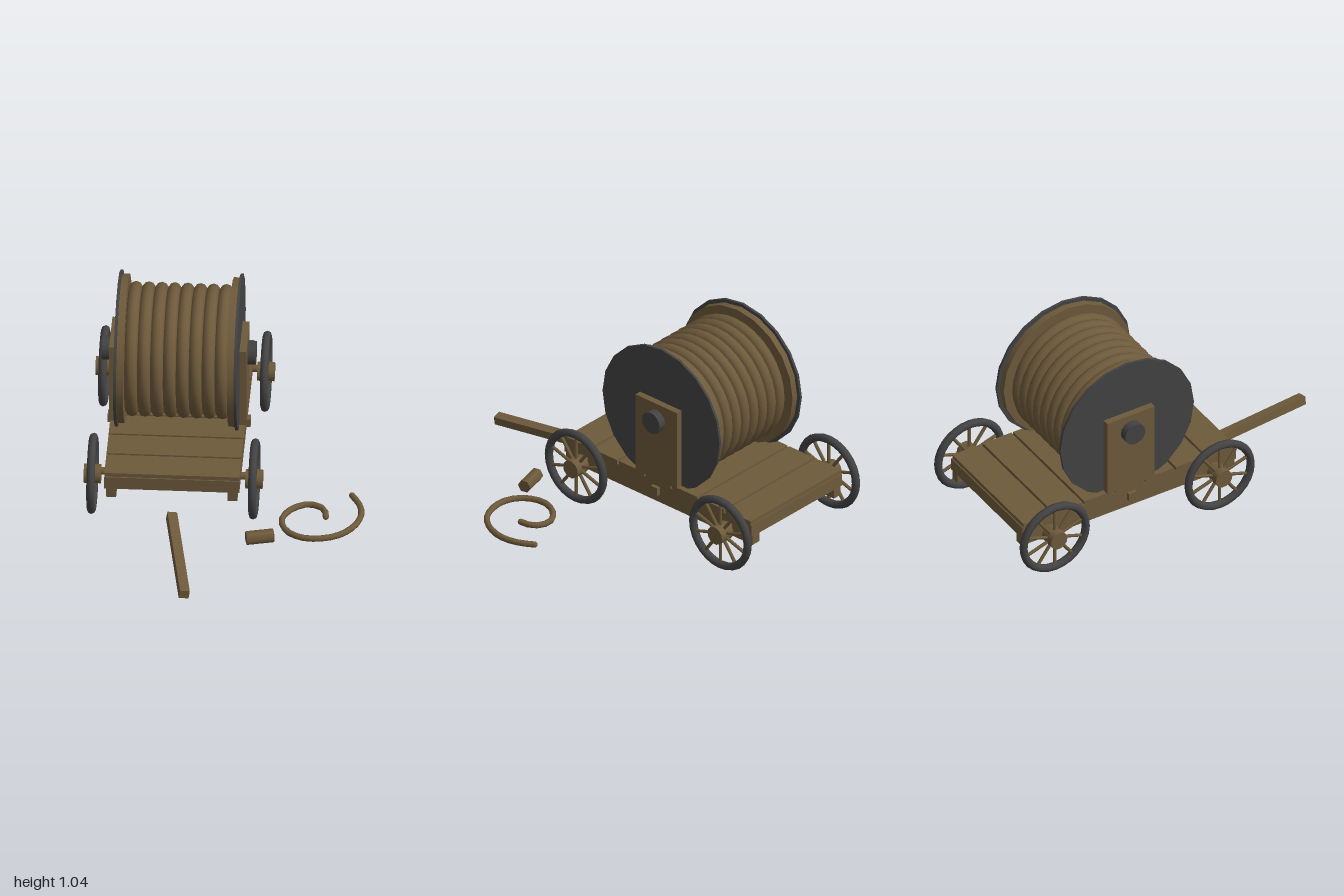
import * as THREE from 'three';

const wood = new THREE.MeshStandardMaterial({ color: 0x6e5a3b });
wood.name = 'brown wood';
const metal = new THREE.MeshStandardMaterial({ color: 0x434344 });
metal.name = 'dark metal';

const CX = -0.26; // cart centre line

function add(parent, name, geometry, material, x = 0, y = 0, z = 0) {
  const mesh = new THREE.Mesh(geometry, material);
  mesh.name = name;
  mesh.position.set(x, y, z);
  parent.add(mesh);
  return mesh;
}

const box = (w, h, d) => new THREE.BoxGeometry(w, h, d);

// Cylinder lying along x, with a corner pointing straight up
const rod = (r, length, sides) => new THREE.CylinderGeometry(r, r, length, sides).rotateZ(Math.PI / 2);

function makeWheel(x, z) {
  const wheel = new THREE.Group();
  wheel.name = 'wheel';
  wheel.position.set(x, 0.208, z);
  add(wheel, 'wheelRim', new THREE.TorusGeometry(0.184, 0.021, 8, 28).rotateY(Math.PI / 2), metal);
  add(wheel, 'wheelHub', rod(0.049, 0.086, 14), wood);
  for (let i = 0; i < 10; i++) {
    const spoke = new THREE.CylinderGeometry(0.009, 0.009, 0.15, 6).translate(0, 0.105, 0);
    add(wheel, 'spoke', spoke, wood).rotation.x = (i / 10) * Math.PI * 2;
  }
  return wheel;
}

function makeCart() {
  const cart = new THREE.Group();
  cart.name = 'cart';
  cart.position.x = CX;

  // Deck of seven cross planks
  for (let i = 0; i < 7; i++) {
    add(cart, 'deckPlank', box(0.68, 0.022, 0.168), wood, 0, 0.289, 0.23 - i * 0.18);
  }

  // Frame under the deck
  for (const s of [-1, 1]) {
    add(cart, 'sideBeam', box(0.05, 0.068, 1.26), wood, s * 0.315, 0.245, -0.31);
    add(cart, 'lowerRail', box(0.05, 0.052, 1.26), wood, s * 0.305, 0.187, -0.31);
    add(cart, 'endBeam', box(0.68, 0.068, 0.045), wood, 0, 0.245, -0.31 + s * 0.608);
  }
  add(cart, 'middleBeam', box(0.72, 0.045, 0.045), wood, 0, 0.235, -0.3);

  // Axles and wheels
  for (const z of [0.183, -0.792]) {
    add(cart, 'axle', rod(0.02, 0.78, 10), wood, 0, 0.225, z);
    for (const s of [-1, 1]) cart.add(makeWheel(s * 0.407, z));
  }
  return cart;
}

function makeReel() {
  const reel = new THREE.Group();
  reel.name = 'reel';
  reel.position.set(CX, 0.645, -0.303);

  add(reel, 'drumCore', rod(0.3, 0.54, 20), wood);
  add(reel, 'spindle', rod(0.06, 0.775, 14), metal);

  // Cheeks: metal plate outside, wooden disc inside
  for (const s of [-1, 1]) {
    add(reel, 'outerPlate', rod(0.395, 0.014, 20), metal, s * 0.303);
    add(reel, 'innerDisc', rod(0.376, 0.035, 20), wood, s * 0.279);
    add(reel, 'support', box(0.035, 0.443, 0.28), wood, s * 0.328, -0.127, 0);
  }

  // Wound rope
  for (let i = 0; i < 8; i++) {
    const ring = new THREE.TorusGeometry(0.307, 0.0335, 10, 32).rotateY(Math.PI / 2);
    add(reel, 'ropeTurn', ring, wood, (i - 3.5) * 0.065);
  }
  return reel;
}

export function createModel() {
  const model = new THREE.Group();
  model.name = 'ropeReelCart';
  model.add(makeCart(), makeReel());

  // Loose beam on the ground
  const beam = add(model, 'looseBeam', box(0.05, 0.045, 0.665), wood, -0.208, 0.052, 0.662);
  beam.lookAt(-0.156, 0.034, 0.99);
  beam.rotateZ(-0.15);

  // Short six-sided block
  const block = add(model, 'looseBlock', rod(0.035, 0.14, 6), wood, 0.191, 0.039, 0.451);
  block.rotation.y = 0.245;

  // Loose rope end, spiralling outwards on the ground
  const path = [
    [0.51, 0.23], [0.495, 0.16], [0.42, 0.122], [0.335, 0.17], [0.29, 0.27],
    [0.325, 0.375], [0.4, 0.425], [0.48, 0.43], [0.58, 0.395], [0.655, 0.31],
    [0.687, 0.2], [0.67, 0.105], [0.63, 0.03],
  ].map(([x, z]) => new THREE.Vector3(x, 0.025, z));
  const curve = new THREE.CatmullRomCurve3(path);
  add(model, 'looseRope', new THREE.TubeGeometry(curve, 26, 0.016, 8), wood);
  for (const end of [path[0], path[path.length - 1]]) {
    add(model, 'ropeTip', new THREE.SphereGeometry(0.016, 8, 6), wood, end.x, end.y, end.z);
  }
  return model;
}
